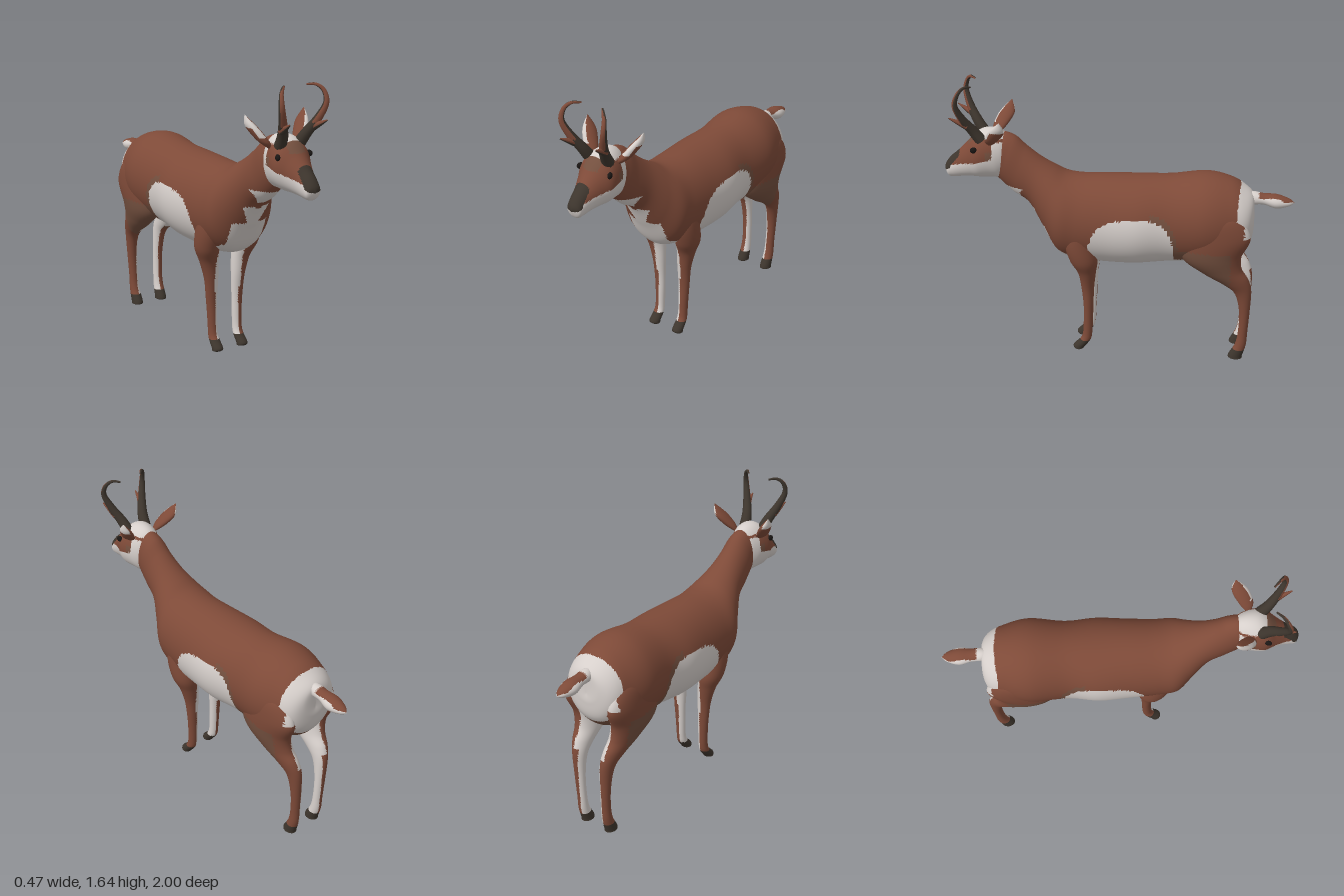
import * as THREE from 'three';

const mat = (name, color, side = THREE.FrontSide) => {
  const m = new THREE.MeshStandardMaterial({ color, side });
  m.name = name;
  return m;
};
const BROWN = 0, WHITE = 1, DUN = 2, DARK = 3;

// Smooth interpolation through a list of rows
function sample(rows, t) {
  const f = t * (rows.length - 1), i = Math.min(Math.floor(f), rows.length - 2), u = f - i;
  const at = k => rows[Math.max(0, Math.min(rows.length - 1, k))];
  const [a, b, c, d] = [at(i - 1), at(i), at(i + 1), at(i + 2)];
  return b.map((_, k) => b[k] + 0.5 * u * (c[k] - a[k] + u * (2 * a[k] - 5 * b[k] + 4 * c[k] - d[k]
    + u * (3 * (b[k] - c[k]) + d[k] - a[k]))));
}

// Closed rings between two opposite points; row: [z1, y1, z2, y2, halfWidth, xCentre]
function loft(rows, along, around, side = 1) {
  const pos = [], index = [];
  for (let i = 0; i <= along; i++) {
    const [z1, y1, z2, y2, w, x = 0] = sample(rows, i / along);
    for (let j = 0; j < around; j++) {
      const a = j / around * Math.PI * 2, c = Math.cos(a) / 2;
      pos.push(side * x + Math.max(0, w) * Math.sin(a), (y1 + y2) / 2 + (y1 - y2) * c, (z1 + z2) / 2 + (z1 - z2) * c);
      if (i === along) continue;
      const p = i * around + j, q = i * around + (j + 1) % around;
      index.push(p, p + around, q + around, p, q + around, q);
    }
  }
  const g = new THREE.BufferGeometry();
  g.setAttribute('position', new THREE.Float32BufferAttribute(pos, 3));
  g.setIndex(index);
  g.computeVertexNormals();
  return g;
}

// Sort triangles into material groups by a rule on their centre and normal
function paint(g, rule) {
  const lists = [[], [], [], []], src = g.index.array, P = g.attributes.position;
  const tri = new THREE.Triangle(), c = new THREE.Vector3(), n = new THREE.Vector3();
  for (let i = 0; i < src.length; i += 3) {
    tri.setFromAttributeAndIndices(P, src[i], src[i + 1], src[i + 2]);
    tri.getMidpoint(c);
    tri.getNormal(n);
    lists[rule(c, n)].push(src[i], src[i + 1], src[i + 2]);
  }
  g.setIndex(lists.flat());
  g.clearGroups();
  let start = 0;
  lists.forEach((l, k) => {
    if (l.length) g.addGroup(start, l.length, k);
    start += l.length;
  });
  return g;
}

function bodyColour({ x, y, z }) {
  const ax = Math.abs(x);
  // rump disc
  if (z < -0.685 - 0.9 * (y - 0.98) ** 2 && (y > 0.8 || ax < 0.12)) return WHITE;
  // flank patch and belly
  const up = Math.max(0, y - 0.6 + 0.08 * (z + 0.2)) / 0.335;
  const flank = Math.abs((z + 0.09) / 0.25) ** 3.2 + up ** 3;
  if (flank < 1 || (y < 0.67 && ax < 0.13)) return WHITE;
  // chest bib, heart and throat crescent
  if (z > 0.26) {
    if (y < 0.81 && ax < 0.115) return WHITE;
    if (y >= 0.81 && y < 0.915 - (ax < 0.02 ? 0.015 : 0) && ax < 0.035 + 0.5 * (y - 0.81)) return WHITE;
    if (y > 0.945 && y < 1.03 && ax < 0.03 + 0.75 * (y - 0.945)) return WHITE;
  }
  if (z < -0.2 && (flank < 1.35 || y < 0.74)) return DUN;
  return BROWN;
}

function headColour({ x, y, z }) {
  const ax = Math.abs(x);
  if (z > 0.905 && y > 1.1 + (1 - z) * 0.6 && ax < 0.047) return DARK;
  if (y < 1.15 + (0.92 - z) * 0.28) return WHITE;
  if (z < 0.705 && z > 0.63 && y < 1.3 && ax > 0.05) return WHITE;
  if (z > 0.64 && z < 0.8 && y > 1.315 && ax < 0.085) return WHITE;
  if ((y > 1.28 && ax < 0.05) || (z < 0.74 && y < 1.25)) return DUN;
  return BROWN;
}

const BODY = [
  [-0.775, 0.98, -0.775, 0.9, 0], [-0.77, 1.03, -0.78, 0.84, 0.09], [-0.72, 1.075, -0.76, 0.74, 0.16],
  [-0.64, 1.12, -0.68, 0.66, 0.2], [-0.5, 1.145, -0.52, 0.62, 0.235], [-0.3, 1.12, -0.3, 0.6, 0.217],
  [-0.12, 1.11, -0.12, 0.58, 0.235], [0.06, 1.105, 0.06, 0.575, 0.222], [0.2, 1.1, 0.25, 0.59, 0.212],
  [0.29, 1.11, 0.35, 0.64, 0.205], [0.36, 1.145, 0.43, 0.78, 0.16], [0.44, 1.195, 0.51, 0.92, 0.115],
  [0.52, 1.26, 0.6, 0.98, 0.095], [0.585, 1.32, 0.68, 1.055, 0.085], [0.65, 1.34, 0.72, 1.1, 0.07],
  [0.67, 1.3, 0.7, 1.2, 0]];
const HEAD = [
  [0.62, 1.28, 0.61, 1.18, 0], [0.64, 1.335, 0.63, 1.11, 0.065], [0.69, 1.36, 0.67, 1.07, 0.095],
  [0.755, 1.36, 0.72, 1.068, 0.11], [0.81, 1.33, 0.78, 1.066, 0.112], [0.865, 1.27, 0.83, 1.066, 0.086],
  [0.92, 1.215, 0.885, 1.062, 0.062], [0.965, 1.175, 0.94, 1.055, 0.05], [0.993, 1.135, 0.972, 1.058, 0.04],
  [1, 1.105, 0.99, 1.08, 0]];
const TAIL = [
  [-1, 0.99, -1, 0.985, 0], [-0.97, 1.01, -0.97, 0.967, 0.028], [-0.9, 1.032, -0.9, 0.953, 0.05],
  [-0.83, 1.035, -0.83, 0.972, 0.038], [-0.76, 1.045, -0.76, 0.97, 0.035], [-0.7, 1.02, -0.7, 0.98, 0]];
const HIND_LEG = [
  [-0.5, 1, -0.62, 1, 0, 0.15], [-0.42, 0.94, -0.71, 0.94, 0.06, 0.15], [-0.37, 0.82, -0.765, 0.82, 0.075, 0.15],
  [-0.38, 0.68, -0.72, 0.7, 0.08, 0.135], [-0.5, 0.58, -0.725, 0.61, 0.065, 0.122],
  [-0.62, 0.505, -0.765, 0.54, 0.05, 0.11], [-0.69, 0.44, -0.785, 0.46, 0.038, 0.1],
  [-0.72, 0.32, -0.782, 0.32, 0.031, 0.093], [-0.72, 0.18, -0.775, 0.18, 0.028, 0.088],
  [-0.705, 0.09, -0.77, 0.09, 0.03, 0.087], [-0.67, 0.02, -0.75, 0.012, 0.033, 0.086],
  [-0.672, 0, -0.748, 0, 0.031, 0.086], [-0.71, 0, -0.711, 0, 0, 0.086]];
const FRONT_LEG = [
  [0.22, 0.92, 0.18, 0.92, 0, 0.14], [0.28, 0.86, 0.13, 0.86, 0.05, 0.14], [0.295, 0.74, 0.125, 0.74, 0.066, 0.14],
  [0.265, 0.62, 0.105, 0.62, 0.07, 0.13], [0.222, 0.53, 0.117, 0.53, 0.056, 0.108],
  [0.205, 0.42, 0.13, 0.42, 0.042, 0.092], [0.194, 0.3, 0.136, 0.3, 0.034, 0.088],
  [0.195, 0.2, 0.14, 0.2, 0.03, 0.085], [0.2, 0.11, 0.145, 0.11, 0.028, 0.084],
  [0.215, 0.065, 0.155, 0.06, 0.03, 0.084], [0.257, 0.02, 0.19, 0.012, 0.032, 0.085],
  [0.25, 0, 0.2, 0, 0.03, 0.085], [0.225, 0, 0.224, 0, 0, 0.085]];
const EAR = [
  [0.69, 1.3, 0.72, 1.29, 0.015, 0.085], [0.655, 1.335, 0.735, 1.325, 0.03, 0.115],
  [0.62, 1.385, 0.715, 1.38, 0.03, 0.15], [0.615, 1.42, 0.685, 1.42, 0.022, 0.172],
  [0.633, 1.465, 0.637, 1.465, 0, 0.19]];
const HORN = [[0.06, 1.31, 0.77], [0.075, 1.37, 0.81], [0.11, 1.45, 0.858], [0.14, 1.54, 0.888],
  [0.132, 1.6, 0.872], [0.103, 1.627, 0.845], [0.07, 1.625, 0.81]];
const PRONG = [[0.095, 1.405, 0.835], [0.108, 1.43, 0.885], [0.118, 1.455, 0.932]];

// Tube narrowing from r0 to r1 along a mirrored path
function taperedTube(points, side, r0, r1, steps) {
  const curve = new THREE.CatmullRomCurve3(points.map(([x, y, z]) => new THREE.Vector3(side * x, y, z)));
  const g = new THREE.TubeGeometry(curve, steps, r0, 12);
  const P = g.attributes.position, v = new THREE.Vector3();
  for (let i = 0; i < P.count; i++) {
    const t = Math.floor(i / 13) / steps, c = curve.getPointAt(t);
    v.fromBufferAttribute(P, i).sub(c).multiplyScalar(THREE.MathUtils.lerp(1, r1 / r0, t)).add(c);
    P.setXYZ(i, v.x, v.y, v.z);
  }
  g.computeVertexNormals();
  return g;
}

export function createModel() {
  const model = new THREE.Group();
  model.name = 'antelope';
  const coat = [mat('brown coat', 0x7e4a38), mat('white coat', 0xd6cfcb), mat('dun coat', 0x74503f), mat('dark horn', 0x3d352d)];
  const eyeMat = mat('eye black', 0x1a1614);
  const add = (name, geo, material) => {
    const m = new THREE.Mesh(geo, material);
    m.name = name;
    model.add(m);
    return m;
  };

  add('body', paint(loft(BODY, 180, 96), bodyColour), coat);
  add('head', paint(loft(HEAD, 80, 64), headColour), coat);
  add('tail', paint(loft(TAIL, 30, 32), (c, n) => (n.y > 0.5 && c.z < -0.8 && Math.abs(c.x) < 0.035 ? BROWN : WHITE)), coat);

  for (const side of [1, -1]) {
    const label = side > 0 ? 'left' : 'right';

    // Legs: white inner face, dark hooves
    add(label + 'FrontLeg', paint(loft(FRONT_LEG, 90, 32, side), ({ x, y }) =>
      y < 0.06 ? DARK : x * side < (y > 0.35 ? 0.09 : 0.078) ? WHITE : BROWN), coat);
    add(label + 'HindLeg', paint(loft(HIND_LEG, 100, 40, side), ({ x, y, z }) => {
      if (y < 0.06) return DARK;
      if (x * side < (y > 0.5 ? 0.11 : 0.08)) return WHITE;
      if (z < -0.73 && y > 0.83) return WHITE;
      return y > 0.45 && y < 0.74 && z > -0.66 ? DUN : BROWN;
    }), coat);

    // Ears: pale rim and tip
    add(label + 'Ear', paint(loft(EAR, 30, 24, side), (c, n) =>
      (n.z > 0.55 && c.y > 1.35) || (c.y > 1.4 && n.x * side > -0.2) ? WHITE : BROWN), coat);

    // Horns with forward prongs
    add(label + 'Horn', paint(taperedTube(HORN, side, 0.034, 0.005, 48), (c, n) =>
      c.y > 1.43 && n.z > 0.25 ? BROWN : DARK), coat);
    add(label + 'Prong', paint(taperedTube(PRONG, side, 0.024, 0.003, 12), (c, n) =>
      n.y > -0.3 ? BROWN : DARK), coat);

    // Eyes
    const eye = add(label + 'Eye', new THREE.SphereGeometry(0.021, 20, 14), eyeMat);
    eye.scale.set(0.6, 0.85, 1);
    eye.rotation.y = side * 0.35;
    eye.position.set(side * 0.1, 1.26, 0.805);
  }
  return model;
}
